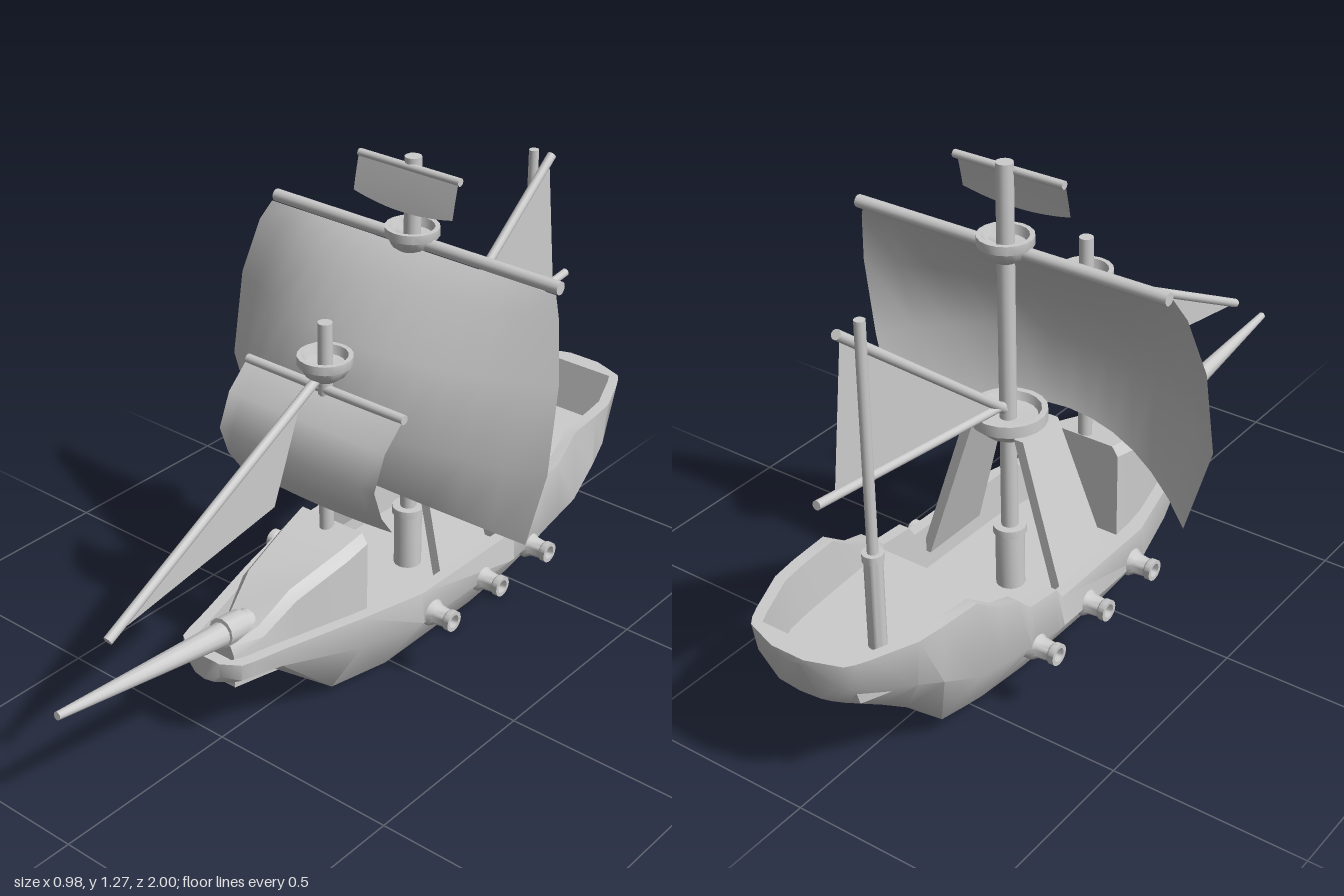
import * as THREE from 'three';
import { toCreasedNormals } from 'three/addons/utils/BufferGeometryUtils.js';

const grey = new THREE.MeshStandardMaterial({ color: 0xcccccc, side: THREE.DoubleSide });
grey.name = 'pale grey';

// Skin a list of equal-length rings, closing both ends
function loft(rings, crease = 0.7) {
  const n = rings[0].length, index = [];
  for (let s = 0; s < rings.length - 1; s++) {
    for (let i = 0; i < n; i++) {
      const a = s * n + i, b = s * n + (i + 1) % n;
      index.push(a, a + n, b, b, a + n, b + n);
    }
  }
  const e = (rings.length - 1) * n;
  for (let i = 1; i < n - 1; i++) index.push(0, i, i + 1, e, e + i + 1, e + i);
  const g = new THREE.BufferGeometry();
  g.setAttribute('position', new THREE.Float32BufferAttribute(rings.flat(2), 3));
  g.setIndex(index);
  return toCreasedNormals(g, crease);
}

// Tapered rod between two points
function rod(a, b, r1, r2 = r1) {
  const p = new THREE.Vector3(...a), d = new THREE.Vector3(...b).sub(p);
  const g = new THREE.CylinderGeometry(r2, r1, d.length(), 12);
  g.translate(0, d.length() / 2, 0);
  g.applyQuaternion(new THREE.Quaternion().setFromUnitVectors(new THREE.Vector3(0, 1, 0), d.normalize()));
  return g.translate(p.x, p.y, p.z);
}

function lathe(points, x, y, z) {
  const g = new THREE.LatheGeometry(points.map(p => new THREE.Vector2(...p)), 18);
  return toCreasedNormals(g, 0.7).translate(x, y, z);
}

// Bellied sail; rows run downward as [edge y, half width, edge z, middle y, middle z]
function sail(rows) {
  const segments = 12;
  const g = new THREE.PlaneGeometry(2, 1, segments, rows.length - 1), p = g.attributes.position;
  for (let i = 0; i < p.count; i++) {
    const u = p.getX(i), [ye, w, ze, yc, zc] = rows[Math.floor(i / (segments + 1))];
    p.setXYZ(i, u * w, yc + (ye - yc) * u * u, zc + (ze - zc) * u * u);
  }
  g.computeVertexNormals();
  return g;
}

// Flat three-cornered sail on the centre plane, corners given as [z, y]
function triangle(...corners) {
  const g = new THREE.BufferGeometry();
  g.setAttribute('position', new THREE.Float32BufferAttribute(corners.flatMap(([z, y]) => [0, y, z]), 3));
  g.computeVertexNormals();
  return g;
}

// Deck height: solid at both tips, raised aft, otherwise following the keel
function deckHeight(z, keelY, railY) {
  if (z > 0.5 || z < -0.94) return railY;
  return z <= -0.45 ? 0.3 : Math.max(0.15, keelY + 0.02);
}

export function createModel() {
  const ship = new THREE.Group();
  ship.name = 'sailingShip';
  const add = (name, geometry) => {
    const m = new THREE.Mesh(geometry, grey);
    m.name = name;
    ship.add(m);
  };

  // Hull stations: z, keel y, keel half width, bilge half width, bilge y, rail half width, rail y
  const stations = [
    [0.55, 0.2, 0.03, 0.05, 0.23, 0.05, 0.265],
    [0.52, 0.195, 0.06, 0.09, 0.22, 0.095, 0.265],
    [0.49, 0.195, 0.065, 0.1, 0.22, 0.105, 0.265],
    [0.41, 0.185, 0.07, 0.12, 0.215, 0.125, 0.265],
    [0.2, 0.015, 0.09, 0.185, 0.18, 0.185, 0.265],
    [0.02, 0, 0.115, 0.235, 0.18, 0.23, 0.265],
    [-0.325, 0.008, 0.12, 0.243, 0.19, 0.235, 0.268],
    [-0.345, 0.01, 0.12, 0.243, 0.19, 0.234, 0.3],
    [-0.44, 0.02, 0.12, 0.24, 0.2, 0.231, 0.31],
    [-0.45, 0.021, 0.12, 0.24, 0.2, 0.231, 0.312],
    [-0.49, 0.025, 0.12, 0.238, 0.21, 0.23, 0.355],
    [-0.555, 0.033, 0.115, 0.235, 0.22, 0.226, 0.375],
    [-0.63, 0.045, 0.11, 0.23, 0.23, 0.222, 0.43],
    [-0.74, 0.15, 0.1, 0.212, 0.28, 0.214, 0.432],
    [-0.81, 0.2, 0.09, 0.195, 0.31, 0.205, 0.432],
    [-0.92, 0.275, 0.08, 0.145, 0.345, 0.16, 0.432],
    [-0.95, 0.295, 0.07, 0.13, 0.36, 0.145, 0.432],
    [-0.97, 0.31, 0.06, 0.115, 0.37, 0.13, 0.432],
    [-1, 0.41, 0.03, 0.04, 0.42, 0.045, 0.432],
  ];
  add('hull', loft(stations.map(([z, yb, wb, wm, ym, wt, yt]) => {
    const t = Math.min(0.03, wt / 2), yd = deckHeight(z, yb, yt);
    const half = [[0, yb], [wb, yb + 0.006], [wm, ym], [wt, yt], [wt - t, yt], [wt - t - 0.004, yd], [0, yd]];
    const mirrored = half.slice(1, 6).reverse().map(([x, y]) => [-x, y]);
    return [...half, ...mirrored].map(([x, y]) => [x, y, z]);
  })));

  // Fore cabin: z, bottom half width, top half width, top y
  const cabin = [
    [0.49, 0.04, 0.03, 0.272], [0.41, 0.06, 0.045, 0.295], [0.32, 0.085, 0.065, 0.36],
    [0.16, 0.108, 0.088, 0.4], [0.09, 0.112, 0.095, 0.418],
  ];
  add('foreCabin', loft(cabin.map(([z, b, t, y]) =>
    [[-b, 0.16, z], [b, 0.16, z], [b, y - 0.025, z], [t, y, z], [-t, y, z], [-b, y - 0.025, z]]), 0.5));

  // Bowsprit and its collar
  add('bowsprit', rod([0, 0.283, 0.4], [0, 0.356, 0.999], 0.034, 0.01));
  add('bowspritCollar', rod([0, 0.29, 0.425], [0, 0.298, 0.49], 0.037));

  // Three guns on each side
  const gun = [[0, 0], [0.036, 0], [0.036, 0.02], [0.026, 0.035], [0.023, 0.065], [0.027, 0.07],
    [0.027, 0.085], [0.017, 0.085], [0.015, 0.06], [0, 0.06]];
  for (const side of [-1, 1]) {
    for (const z of [-0.02, -0.22, -0.425]) {
      add('cannon', lathe(gun, 0, 0, 0).rotateZ(-side * Math.PI / 2).translate(side * 0.212, 0.19, z));
    }
  }

  // Masts and their feet
  add('mainMast', rod([0, 0.15, -0.21], [0, 1.27, -0.21], 0.021));
  add('foreMast', rod([0, 0.2, 0.11], [0, 0.96, 0.11], 0.018));
  add('mizzenMast', rod([-0.025, 0.3, -0.74], [-0.025, 1.122, -0.74], 0.013));
  const foot = (r, h) => [[r, 0], [r, h - 0.02], [r * 1.15, h - 0.02], [r * 1.15, h], [0, h]];
  add('mainMastFoot', lathe(foot(0.036, 0.17), 0, 0.15, -0.21));
  add('mizzenMastFoot', lathe(foot(0.022, 0.25), -0.025, 0.3, -0.74));

  // Lookout bowls
  const bowl = [[0, 0], [0.03, 0.005], [0.05, 0.02], [0.062, 0.045], [0.067, 0.045], [0.067, 0.067],
    [0.055, 0.067], [0.048, 0.045], [0, 0.04]];
  add('mainLookout', lathe(bowl, 0, 1.028, -0.21));
  add('foreLookout', lathe(bowl, 0, 0.81, 0.11));

  // Mast platform on two splayed legs
  add('mastPlatform', lathe([[0, 0], [0.06, 0], [0.082, 0.025], [0.093, 0.03], [0.093, 0.06],
    [0.078, 0.06], [0.07, 0.04], [0, 0.035]], 0, 0.585, -0.207));
  const ring = (x, y, z0, z1) => [[x - 0.013, y, z0], [x + 0.013, y, z0], [x + 0.013, y, z1], [x - 0.013, y, z1]];
  for (const side of [-1, 1]) {
    add('platformLeg', loft([ring(side * 0.202, 0.2, -0.285, -0.085), ring(side * 0.073, 0.61, -0.27, -0.13)], 0.3));
  }

  // Yards, gaff, boom and jib spar
  const yard = (name, w, y, z, r) => add(name, rod([-w, y, z], [w, y, z], r));
  yard('mainYard', 0.43, 1.06, -0.207, 0.016);
  yard('topYard', 0.15, 1.247, -0.195, 0.01);
  yard('foreYard', 0.24, 0.79, 0.115, 0.012);
  add('jibSpar', rod([0, 0.465, 0.84], [0, 0.835, 0.12], 0.012));
  add('gaff', rod([0, 0.65, -0.225], [0, 1.1, -0.785], 0.012));
  add('boom', rod([0, 0.66, -0.225], [0, 0.737, -0.878], 0.011));

  // Sails
  add('mainSail', sail([
    [1.05, 0.43, -0.19, 1.05, -0.19], [1, 0.455, -0.17, 0.99, -0.105], [0.86, 0.487, -0.135, 0.85, -0.01],
    [0.64, 0.492, -0.1, 0.69, 0.08], [0.42, 0.43, -0.115, 0.525, 0.035],
  ]));
  add('foreSail', sail([
    [0.79, 0.24, 0.12, 0.78, 0.12], [0.73, 0.24, 0.185, 0.73, 0.185], [0.645, 0.24, 0.222, 0.645, 0.226],
    [0.565, 0.24, 0.195, 0.56, 0.2], [0.508, 0.24, 0.155, 0.5, 0.16],
  ]));
  add('topSail', sail([
    [1.25, 0.148, -0.19, 1.25, -0.19], [1.2, 0.148, -0.178, 1.195, -0.176], [1.16, 0.148, -0.17, 1.143, -0.168],
  ]));
  add('jib', triangle([0.835, 0.465], [0.295, 0.55], [0.195, 0.795]));
  add('mizzenSail', triangle([-0.24, 0.665], [-0.82, 0.73], [-0.775, 1.09]));

  return ship;
}
